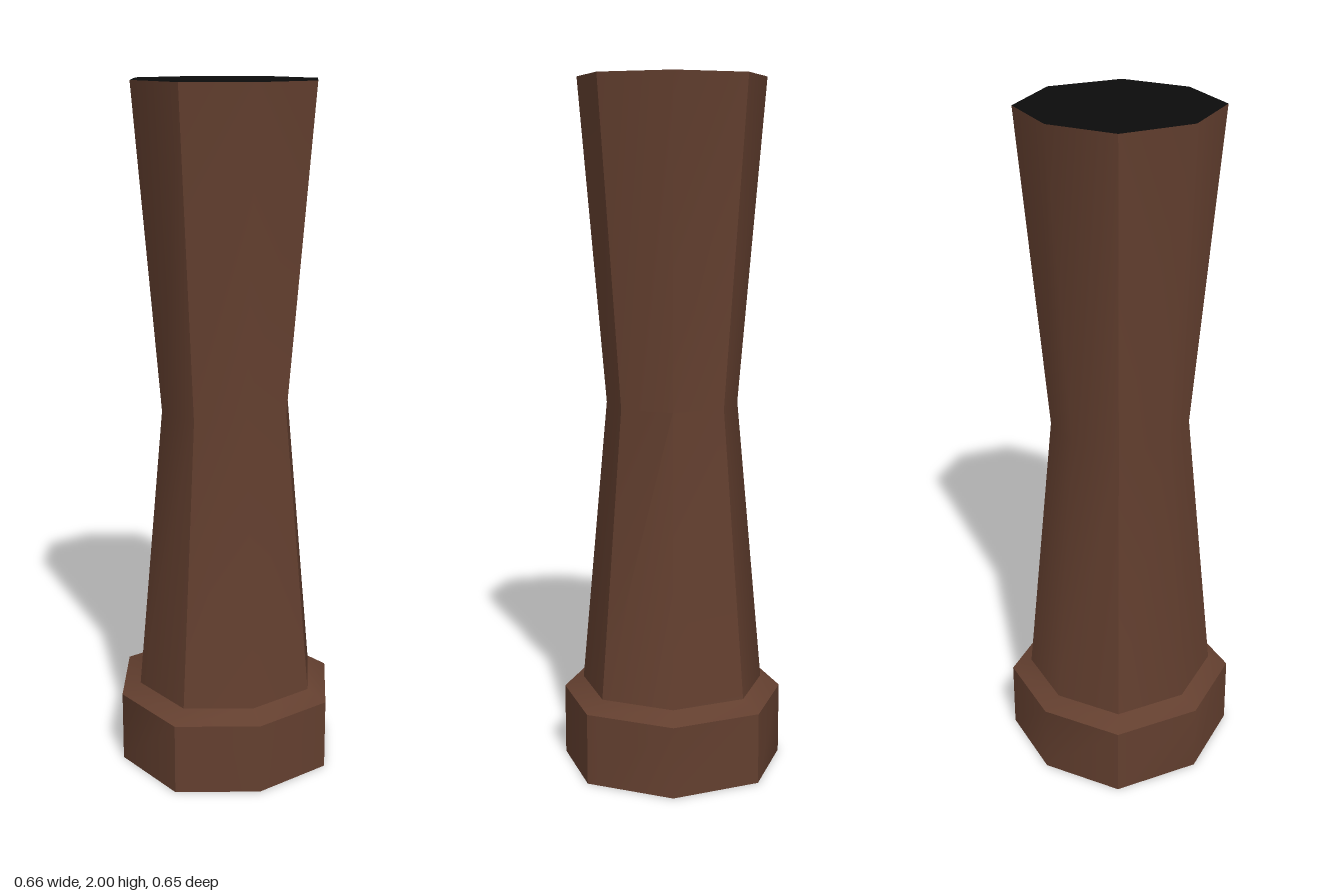
import * as THREE from 'three';
import { toCreasedNormals } from 'three/addons/utils/BufferGeometryUtils.js';

// Eight-sided cross-section for radius 1, counter-clockwise seen from above: [x, z]
const SECTION = [
  [1, 0], [0.713, -0.75], [0, -0.985], [-0.713, -0.75],
  [-1, 0], [-0.713, 0.75], [0, 0.985], [0.713, 0.75],
];
const SHIFT = -0.0055; // all corners but the two side ones sit slightly off centre

function ring(radius, y) {
  return SECTION.map(([x, z]) => [x * radius + (z === 0 ? 0 : SHIFT), y, z * radius]);
}

function geometryFrom(triangles) {
  const geometry = new THREE.BufferGeometry();
  geometry.setAttribute('position', new THREE.Float32BufferAttribute(triangles.flat(), 3));
  geometry.computeVertexNormals();
  return geometry;
}

// Walls between successive rings, smooth over shallow angles and sharp over steep ones
function loft(rings) {
  const triangles = [];
  for (let i = 0; i < rings.length - 1; i++) {
    const low = rings[i], high = rings[i + 1];
    for (let k = 0; k < low.length; k++) {
      const n = (k + 1) % low.length;
      triangles.push(low[k], low[n], high[n], low[k], high[n], high[k]);
    }
  }
  return toCreasedNormals(geometryFrom(triangles), Math.PI / 4);
}

// Flat end face
function cap(corners, facesUp) {
  const triangles = [];
  for (let k = 1; k < corners.length - 1; k++) {
    const [b, c] = facesUp ? [corners[k], corners[k + 1]] : [corners[k + 1], corners[k]];
    triangles.push(corners[0], b, c);
  }
  return geometryFrom(triangles);
}

export function createModel() {
  const brown = new THREE.MeshStandardMaterial({ color: 0x633f2f });
  brown.name = 'brown';
  const black = new THREE.MeshStandardMaterial({ color: 0x0b0b0b });
  black.name = 'black';

  const bottom = ring(0.328, 0);
  const shoulder = ring(0.328, 0.21);
  const neck = ring(0.271, 0.24);
  const waist = ring(0.193, 1.08);
  const top = ring(0.271, 2);

  const model = new THREE.Group();
  model.name = 'column';
  const add = (name, geometry, material) => {
    const mesh = new THREE.Mesh(geometry, material);
    mesh.name = name;
    model.add(mesh);
  };

  // Plinth with bevelled shoulder, and waisted shaft
  add('base', loft([bottom, shoulder, neck]), brown);
  add('shaft', loft([neck, waist, top]), brown);

  // Dark end faces
  add('topCap', cap(top, true), black);
  add('bottomCap', cap(bottom, false), black);
  return model;
}
